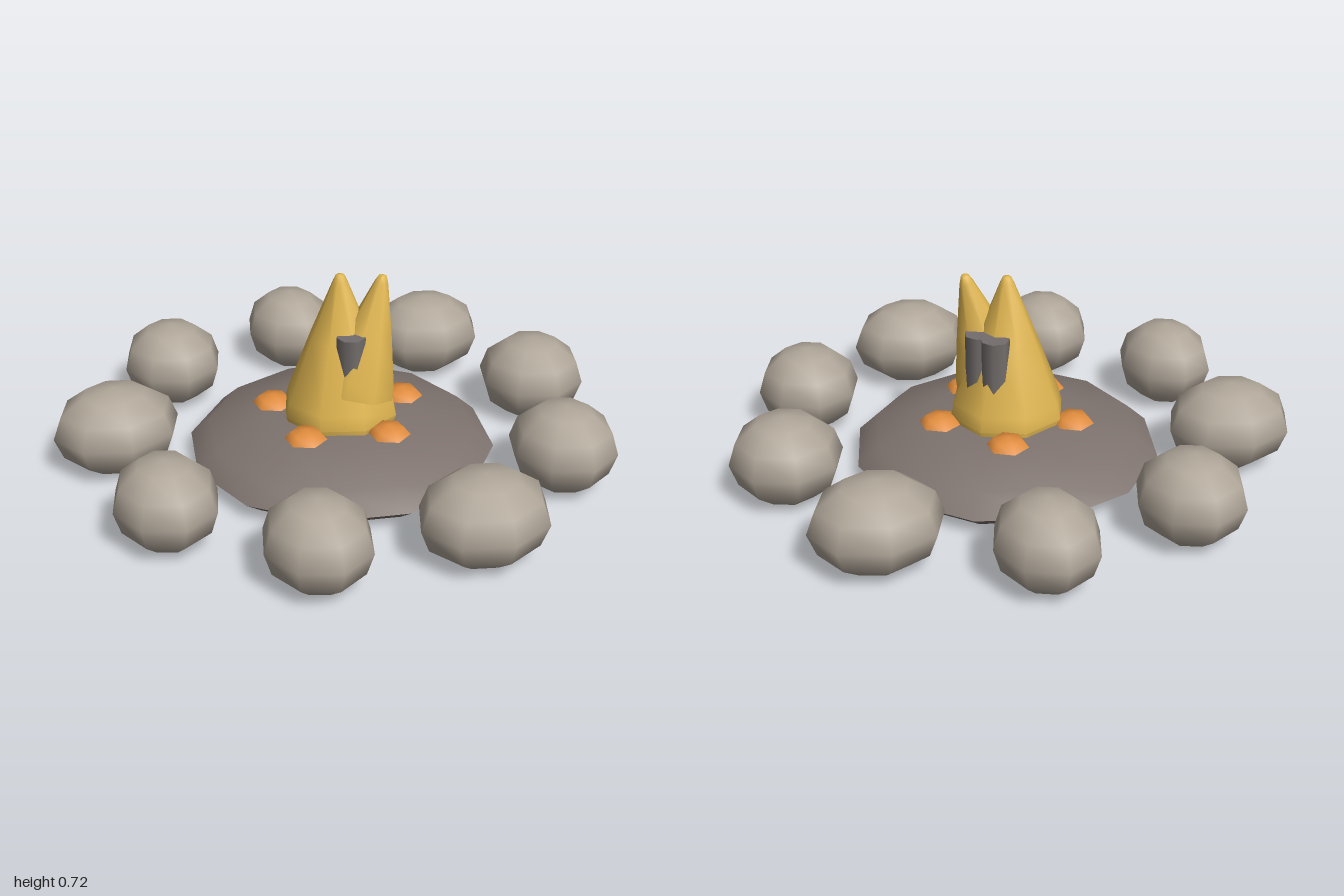
import * as THREE from 'three';
import { toCreasedNormals } from 'three/addons/utils/BufferGeometryUtils.js';

const mat = (name, color) => {
  const m = new THREE.MeshStandardMaterial({ color });
  m.name = name;
  return m;
};

// Flattened low-poly ball whose underside is cut level at a floor height
function pebble(rx, ry, rz, segments, rings, y, floor = 0) {
  const g = new THREE.SphereGeometry(1, segments, rings);
  g.scale(rx, ry, rz);
  g.translate(0, y, 0);
  const p = g.attributes.position;
  for (let i = 0; i < p.count; i++) p.setY(i, Math.max(floor, p.getY(i)));
  return toCreasedNormals(g, 1.5);
}

// Tapering flame from [radius, height] pairs, listed bottom to top
function flame(profile, segments) {
  const g = new THREE.LatheGeometry(profile.map(([r, y]) => new THREE.Vector2(r, y)), segments);
  return toCreasedNormals(g, 0.9);
}

export function createModel() {
  const model = new THREE.Group();
  const stone = mat('stone grey', 0xb0a699);
  const ash = mat('ash brown', 0x7e736e);
  const fire = mat('flame yellow', 0xdfb550);
  const glow = mat('ember orange', 0xe08c3c);
  const char = mat('charcoal', 0x736e6c);

  const add = (name, geometry, material, x = 0, y = 0, z = 0) => {
    const m = new THREE.Mesh(geometry, material);
    m.name = name;
    m.position.set(x, y, z);
    model.add(m);
    return m;
  };

  // Ash mound
  add('ashMound', pebble(0.555, 0.135, 0.555, 12, 6, 0.06, 0.004), ash, -0.01);

  // Ring of nine stones with varying widths
  const widths = [0.2, 0.19, 0.23, 0.182, 0.18, 0.23, 0.19, 0.178, 0.228];
  widths.forEach((w, i) => {
    const a = (i / 9) * Math.PI * 2;
    add('ringStone', pebble(w, 0.16, 0.2, 8, 6, 0.15), stone,
      -0.01 + 0.807 * Math.cos(a), 0, -0.003 + 0.802 * Math.sin(a));
  });

  // Five embers around the fire
  for (let i = 0; i < 5; i++) {
    const a = (i / 5) * Math.PI * 2;
    const ember = add('ember', pebble(0.075, 0.036, 0.075, 6, 4, 0), glow,
      -0.01 + 0.25 * Math.cos(a), 0.185, -0.003 + 0.25 * Math.sin(a));
    ember.rotation.y = Math.PI / 2;
  }

  // Tall main flame
  add('mainFlame', flame([[0, 0.12], [0.19, 0.13], [0.212, 0.2], [0.2, 0.25], [0.112, 0.48],
    [0.026, 0.69], [0.015, 0.712], [0, 0.717]], 8), fire, -0.013);

  // Leaning side flame, with its axis running from base to tip
  const base = new THREE.Vector3(0.02, 0.29, 0.065);
  const axis = new THREE.Vector3(0.122, 0.715, 0.065).sub(base);
  const len = axis.length();
  const side = add('sideFlame', flame([[0, 0], [0.136, 0], [0.128, 0.06], [0.083, 0.22],
    [0.025, len - 0.03], [0.014, len - 0.005], [0, len]], 8), fire, ...base.toArray());
  side.quaternion.setFromUnitVectors(new THREE.Vector3(0, 1, 0), axis.normalize());

  // Charred logs standing inside the fire
  for (const [x, z] of [[-0.018, 0.1], [0.06, -0.085], [0.098, -0.02]]) {
    const log = new THREE.CylinderGeometry(0.052, 0.046, 0.52, 7);
    add('charredLog', toCreasedNormals(log, 1), char, x, 0.26, z);
  }
  return model;
}
